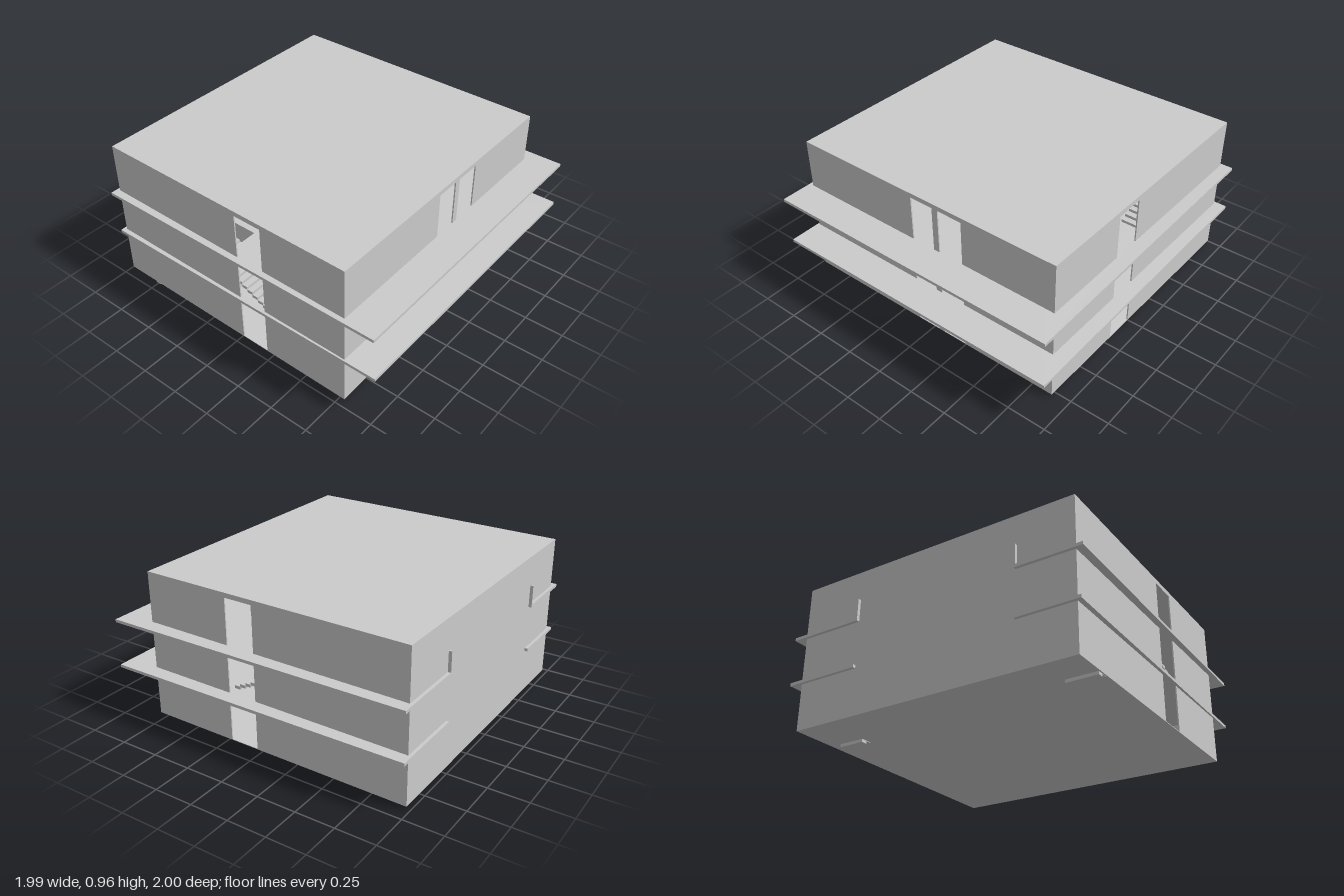
import * as THREE from 'three';

const material = new THREE.MeshStandardMaterial({ color: 0xcccccc, flatShading: true, side: THREE.DoubleSide });

// Rectangle outline, as a shape or a hole
function rect(Type, x0, x1, y0, y1) {
  const r = new Type();
  r.moveTo(x0, y0);
  r.lineTo(x1, y0);
  r.lineTo(x1, y1);
  r.lineTo(x0, y1);
  r.closePath();
  return r;
}

function add(parent, name, geometry) {
  const mesh = new THREE.Mesh(geometry, material);
  mesh.name = name;
  parent.add(mesh);
  return mesh;
}

// Box given by its limits
function block(parent, name, x0, x1, y0, y1, z0, z1) {
  const g = new THREE.BoxGeometry(x1 - x0, y1 - y0, z1 - z0);
  g.translate((x0 + x1) / 2, (y0 + y1) / 2, (z0 + z1) / 2);
  return add(parent, name, g);
}

const BACK = -0.98, FRONT = 0.79, LEFT = 0.915, RIGHT = -0.945;
const BASE = 0.02, TOP = 0.96, LINTEL = 0.93, T = 0.008;

// The plan is a slight parallelogram: shift x with depth
function skew(mesh) {
  const p = mesh.geometry.attributes.position;
  for (let i = 0; i < p.count; i++) p.setX(i, p.getX(i) - 0.0113 * (p.getZ(i) - BACK));
  mesh.geometry.computeVertexNormals();
}

function buildShell() {
  const shell = new THREE.Group();
  shell.name = 'shell';

  // Front wall with two tall openings
  const front = rect(THREE.Shape, RIGHT, LEFT, BASE, TOP);
  front.holes.push(rect(THREE.Path, -0.09, 0.07, BASE + 0.002, LINTEL));
  front.holes.push(rect(THREE.Path, 0.11, 0.28, BASE + 0.002, LINTEL));
  const frontGeo = new THREE.ExtrudeGeometry(front, { depth: T, bevelEnabled: false });
  add(shell, 'frontWall', frontGeo.translate(0, 0, FRONT - T));

  // Side walls with one tall opening each
  const side = rect(THREE.Shape, -FRONT, -BACK, BASE, TOP);
  side.holes.push(rect(THREE.Path, -0.21, -0.02, BASE + 0.002, LINTEL));
  for (const [name, x] of [['leftWall', LEFT - T], ['rightWall', RIGHT]]) {
    const g = new THREE.ExtrudeGeometry(side, { depth: T, bevelEnabled: false });
    g.rotateY(Math.PI / 2);
    add(shell, name, g.translate(x, 0, 0));
  }

  block(shell, 'backWall', RIGHT, LEFT, BASE, TOP, BACK, BACK + T);
  block(shell, 'roof', RIGHT, LEFT, LINTEL, TOP, BACK, FRONT);
  block(shell, 'groundFloor', RIGHT, LEFT, BASE, BASE + 0.004, BACK, FRONT);
  shell.children.forEach(skew);
  return shell;
}

// U-shaped gallery slab, open at the back, with stairwells at both sides
function buildSlab(parent, name, xMin, y0, y1, wellBack, wellFront) {
  const s = new THREE.Shape();
  const outline = [[xMin, -1], [0.99, -1], [0.99, 1], [0.5, 1], [0.5, -0.35], [-0.58, -0.35], [-0.58, 1], [xMin, 1]];
  s.setFromPoints(outline.map(([x, y]) => new THREE.Vector2(x, y)));
  for (const [x0, x1] of [[-0.93, -0.74], [0.67, 0.84]]) {
    s.holes.push(rect(THREE.Path, x0, x1, -wellFront, -wellBack));
  }
  const g = new THREE.ExtrudeGeometry(s, { depth: y1 - y0, bevelEnabled: false });
  g.rotateX(-Math.PI / 2);
  add(parent, name, g.translate(0, y0, 0));
}

// Straight flight of steps; dir is its direction along z
function buildFlight(parent, name, x0, x1, y, z, count, rise, dir) {
  const flight = new THREE.Group();
  flight.name = name;
  const run = 0.039;
  for (let i = 0; i < count; i++) {
    const zc = z + dir * i * run, yb = y + i * rise;
    block(flight, 'step', x0, x1, yb, yb + 0.019, zc - run / 2, zc + run / 2);
  }
  parent.add(flight);
}

export function createModel() {
  const model = new THREE.Group();
  model.name = 'building';
  model.add(buildShell());

  // Galleries running out past the walls
  buildSlab(model, 'lowerGallery', -0.975, 0.317, 0.336, -0.45, 0.015);
  buildSlab(model, 'upperGallery', -0.995, 0.62, 0.639, -0.44, -0.05);

  // Railings along the inner void
  for (const x of [-0.59, 0.5]) {
    block(model, 'lowerRailing', x, x + 0.01, 0.336, 0.48, -0.97, 0.35);
    block(model, 'upperRailing', x, x + 0.01, 0.639, 0.765, -1, 0.35);
  }

  // Two flights on each side
  for (const [x0, x1, z] of [[0.67, 0.84, -0.67], [-0.94, -0.745, -0.75]]) {
    buildFlight(model, 'lowerStairs', x0, x1, 0, z, 18, 0.0177, 1);
    buildFlight(model, 'upperStairs', x0, x1, 0.336, 0.2, 17, 0.0177, -1);
  }
  return model;
}
